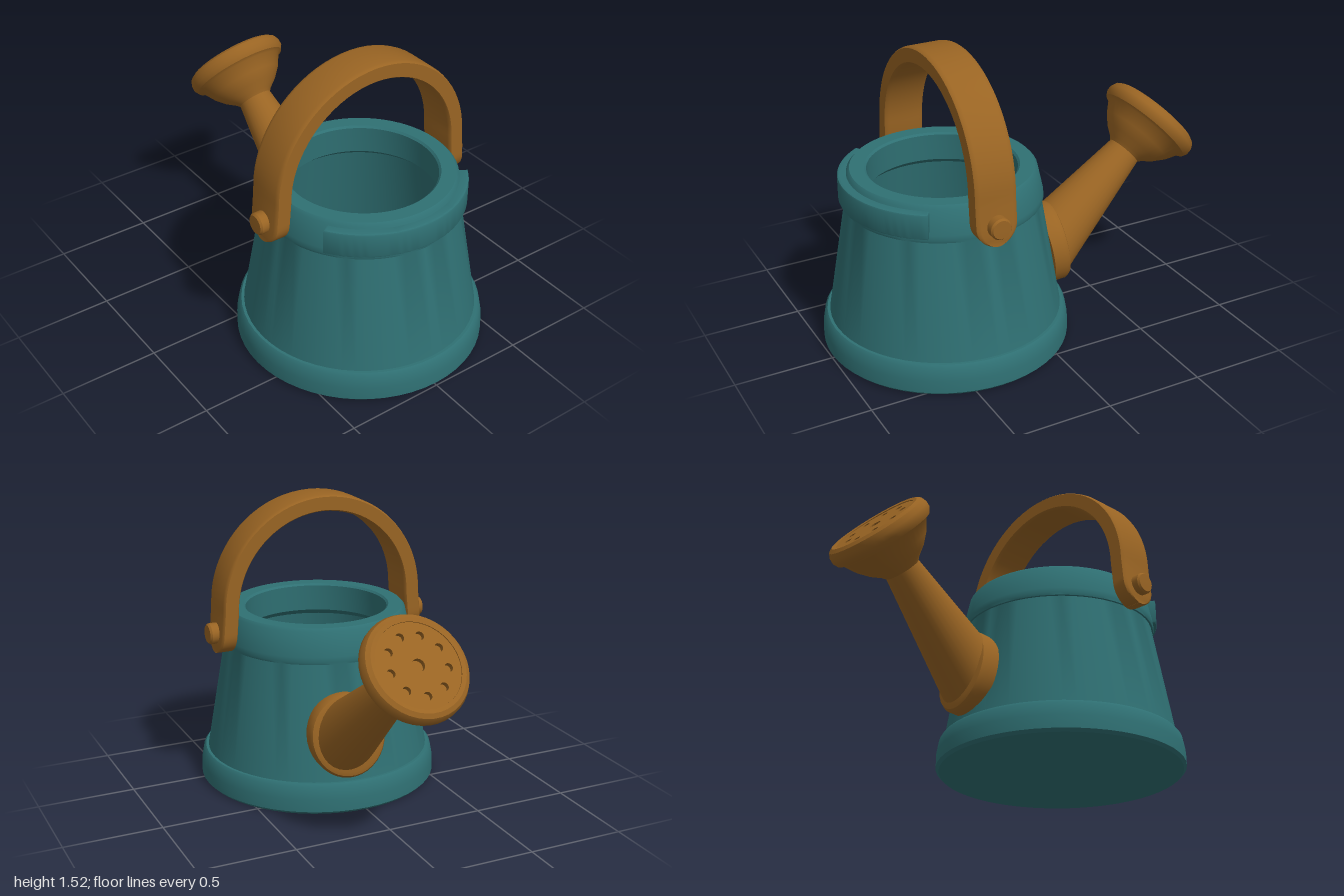
import * as THREE from 'three';
import { toCreasedNormals } from 'three/addons/utils/BufferGeometryUtils.js';

const teal = new THREE.MeshStandardMaterial({ color: 0x2f7073 });
teal.name = 'teal';
const brown = new THREE.MeshStandardMaterial({ color: 0x996423 });
brown.name = 'brown';

const UP = new THREE.Vector3(0, 1, 0);
const BODY_X = 0.372;

function part(name, geometry, material, parent, crease = 0.6) {
  const mesh = new THREE.Mesh(toCreasedNormals(geometry, crease), material);
  mesh.name = name;
  parent.add(mesh);
  return mesh;
}

const lathe = (points, segments = 48) =>
  new THREE.LatheGeometry(points.map(([r, y]) => new THREE.Vector2(r, y)), segments);

// Curved strap: a box bent along an arch, with straight legs and round ends
function strapGeometry() {
  const radius = 0.51, centreY = 0.97, leg = 0.23, half = 0.105, thick = 0.0425;
  const quarter = radius * Math.PI / 2, total = quarter + leg;
  const geo = new THREE.BoxGeometry(2, 2, 2, 3, 72, 3);
  const pos = geo.attributes.position;
  const inset = (v) => (Math.abs(v) > 0.9 ? Math.sign(v) : Math.sign(v) * 0.8);
  for (let i = 0; i < pos.count; i++) {
    let u = inset(pos.getX(i)), n = inset(pos.getZ(i));
    if (Math.abs(u) === 1 && Math.abs(n) === 1) { u *= 0.95; n *= 0.9; }
    const s = -total * Math.sin(pos.getY(i) * Math.PI / 2);
    const side = Math.sign(s), along = Math.abs(s);
    const intoEnd = Math.max(0, along - (total - half));
    const width = Math.max(0.015, Math.sqrt(Math.max(0, half * half - intoEnd * intoEnd)));
    const angle = Math.min(along, quarter) / radius;
    const extra = Math.max(0, along - quarter);
    const r = radius + n * thick;
    pos.setXYZ(i, u * width,
      centreY + r * Math.cos(angle) - extra,
      side * (r * Math.sin(angle) + 0.09 * extra));
  }
  return geo;
}

export function createModel() {
  const model = new THREE.Group();
  model.name = 'wateringCan';

  // Hollow bucket with foot band and rim band
  const bucket = part('bucket', lathe([
    [0, 0], [0.61, 0], [0.625, 0.015], [0.624, 0.08], [0.612, 0.145], [0.6, 0.16],
    [0.586, 0.16], [0.484, 0.75], [0.492, 0.752], [0.496, 0.765], [0.494, 0.79],
    [0.466, 0.915], [0.452, 0.93], [0.38, 0.93], [0.37, 0.92], [0.375, 0.78],
    [0.41, 0.75], [0.52, 0.06], [0, 0.06],
  ], 56), teal, model);
  bucket.position.x = BODY_X;

  // Thicker lip wrapped round the rim opposite the spout
  const span = THREE.MathUtils.degToRad(56);
  const arc = new THREE.Shape();
  arc.absarc(0, 0, 0.502, -span, span, false);
  arc.absarc(0, 0, 0.42, span, -span, true);
  const lipGeo = new THREE.ExtrudeGeometry(arc, {
    depth: 0.11, bevelThickness: 0.01, bevelSize: 0.01, bevelSegments: 2, curveSegments: 24,
  });
  lipGeo.rotateX(-Math.PI / 2);
  part('rimLip', lipGeo, teal, model).position.set(BODY_X, 0.784, 0);

  // Handle and its two pivot pins
  const handle = new THREE.Group();
  handle.name = 'handle';
  handle.position.x = 0.363;
  model.add(handle);
  part('handleStrap', strapGeometry(), brown, handle);
  for (const side of [1, -1]) {
    const pin = part('handlePin', lathe([
      [0, -0.1], [0.054, -0.1], [0.054, 0.032], [0.046, 0.042], [0, 0.043],
    ], 20), brown, handle);
    pin.position.set(0, 0.842, side * 0.567);
    pin.rotation.x = side * Math.PI / 2;
  }

  // Spout collar lying on the sloping wall
  const collarAt = new THREE.Vector3(-0.2, 0.405, -0.09);
  const collarDir = new THREE.Vector3(-0.98, 0.17, -0.14).normalize();
  const collar = part('spoutCollar', lathe([
    [0, -0.06], [0.215, -0.06], [0.217, 0.005], [0.205, 0.025], [0.185, 0.032], [0, 0.032],
  ], 36), brown, model);
  collar.position.copy(collarAt);
  collar.quaternion.setFromUnitVectors(UP, collarDir);
  collar.scale.z = 0.9;

  // Spout axis, shared by the tube and the rose
  const neckAt = new THREE.Vector3(-0.66, 0.81, -0.055);
  const axis = neckAt.clone().sub(collarAt);
  const length = axis.length();
  const turn = new THREE.Quaternion().setFromUnitVectors(UP, axis.normalize());

  // Tapered tube, its lower end slanted to meet the collar
  const tubeGeo = new THREE.CylinderGeometry(0.088, 0.165, length, 32, 1, true);
  tubeGeo.translate(0, length / 2, 0);
  const slant = collarDir.clone().applyQuaternion(turn.clone().invert());
  const pos = tubeGeo.attributes.position;
  for (let i = 0; i < pos.count; i++) {
    if (pos.getY(i) < 0.01) {
      pos.setY(i, -(slant.x * pos.getX(i) + slant.z * pos.getZ(i)) / slant.y);
    }
  }
  const tube = part('spoutTube', tubeGeo, brown, model);
  tube.position.copy(collarAt);
  tube.quaternion.copy(turn);

  // Rose: flared cup with a perforated plate
  const rose = new THREE.Group();
  rose.name = 'rose';
  rose.position.copy(neckAt);
  rose.quaternion.copy(turn);
  model.add(rose);
  part('roseCup', lathe([
    [0, -0.02], [0.088, -0.02], [0.105, 0], [0.15, 0.035], [0.195, 0.085], [0.232, 0.145],
    [0.254, 0.155], [0.267, 0.178], [0.267, 0.205], [0.256, 0.23], [0.235, 0.243],
    [0.214, 0.24], [0.212, 0.21], [0, 0.21],
  ], 40), brown, rose);

  const plate = new THREE.Shape().absarc(0, 0, 0.214, 0, Math.PI * 2, false);
  const drill = (x, y, r) =>
    plate.holes.push(new THREE.Path().absarc(x, y, r, 0, Math.PI * 2, true));
  drill(0, 0, 0.032);
  for (let i = 0; i < 9; i++) {
    const a = (i + 0.5) * Math.PI * 2 / 9;
    drill(0.15 * Math.cos(a), 0.15 * Math.sin(a), 0.021);
  }
  const plateGeo = new THREE.ExtrudeGeometry(plate, {
    depth: 0.024, bevelEnabled: false, curveSegments: 16,
  });
  plateGeo.rotateX(-Math.PI / 2);
  part('rosePlate', plateGeo, brown, rose).position.y = 0.212;

  return model;
}
